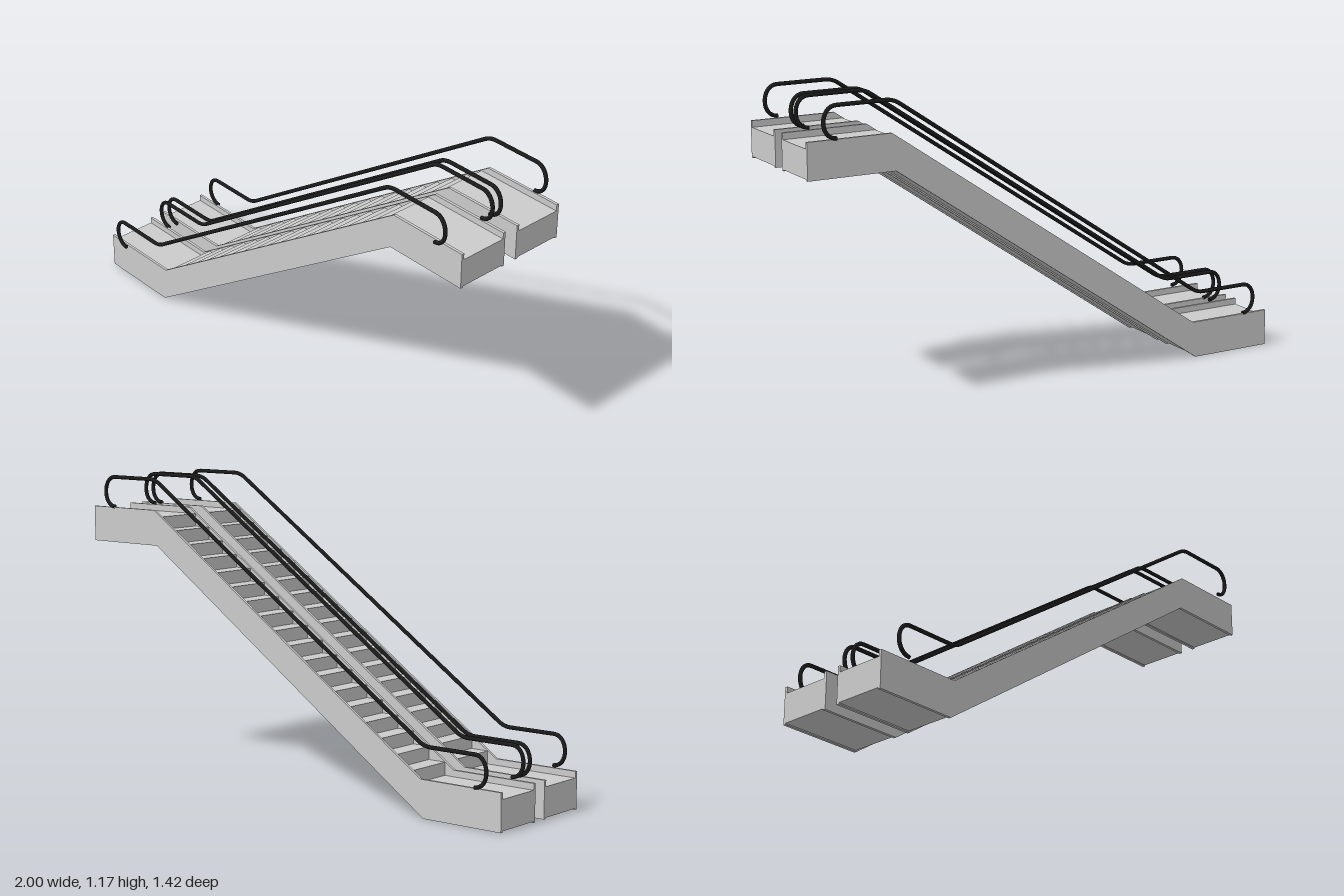
import * as THREE from 'three';

const grey = new THREE.MeshStandardMaterial({ color: 0xcccccc });
const black = new THREE.MeshStandardMaterial({ color: 0x1a1a1a, side: THREE.DoubleSide });

const L = 1.011, RISE = 0.9;            // half length, height climbed
const WIDTH = 0.213, WALL = 0.011;

// Side outline extruded across the escalator from z0, by depth
function slab(points, z0, depth, name) {
  const shape = new THREE.Shape(points.map(([x, y]) => new THREE.Vector2(x, y)));
  const geo = new THREE.ExtrudeGeometry(shape, { depth, bevelEnabled: false });
  geo.translate(0, 0, z0);
  const mesh = new THREE.Mesh(geo, grey);
  mesh.name = name;
  return mesh;
}

// Side wall: two landings joined by the slope
const wallOutline = [
  [-L, 0], [-0.668, 0], [0.662, 0.905], [L, 0.905],
  [L, 1.045], [0.676, 1.045], [-0.654, 0.145], [-L, 0.145],
];

// Core: landings, stepped top and a slightly raised underside
function coreOutline() {
  const steps = 18, first = -0.615, run = 0.074, floor = 0.12;
  const pts = [[-L, 0.005], [-0.671, 0.005], [0.659, 0.91], [L, 0.91], [L, floor + RISE]];
  for (let i = steps - 1; i >= 0; i--) {
    const x = first + i * run;
    pts.push([x, floor + RISE * (i + 1) / steps], [x, floor + RISE * i / steps]);
  }
  pts.push([-L, floor]);
  return pts;
}

// Handrail: hooked ends, flat runs and a long slope with softened bends
function handrail(z, name) {
  const v = (x, y) => new THREE.Vector3(x, y, z);
  const path = new THREE.CurvePath();
  const line = (a, b) => path.add(new THREE.LineCurve3(a, b));
  const bend = (a, b, c) => path.add(new THREE.QuadraticBezierCurve3(a, b, c));
  const low = 0.267, high = low + RISE;
  path.add(new THREE.CubicBezierCurve3(v(-0.895, 0.148), v(-0.965, 0.15), v(-0.96, low), v(-0.895, low)));
  line(v(-0.895, low), v(-0.70, low));
  bend(v(-0.70, low), v(-0.67, low), v(-0.645, low + 0.017));
  line(v(-0.645, low + 0.017), v(0.645, high - 0.017));
  bend(v(0.645, high - 0.017), v(0.67, high), v(0.70, high));
  line(v(0.70, high), v(0.895, high));
  path.add(new THREE.CubicBezierCurve3(v(0.895, high), v(0.96, high), v(0.965, 1.05), v(0.895, 1.048)));
  const mesh = new THREE.Mesh(new THREE.TubeGeometry(path, 220, 0.0078, 10, false), black);
  mesh.name = name;
  return mesh;
}

// One escalator, its width running from z = 0 to WIDTH
function escalator(name) {
  const g = new THREE.Group();
  g.name = name;
  g.add(
    slab(wallOutline, 0, WALL, 'backSideWall'),
    slab(wallOutline, WIDTH - WALL, WALL, 'frontSideWall'),
    slab(coreOutline(), WALL, WIDTH - 2 * WALL, 'stepsAndLandings'),
    handrail(0.001, 'backHandrail'),
    handrail(WIDTH + 0.017, 'frontHandrail'),
  );
  return g;
}

export function createModel() {
  const model = new THREE.Group();
  model.name = 'escalatorPair';
  // The pair stands at an angle to the front
  const pair = new THREE.Group();
  pair.name = 'escalators';
  pair.rotation.y = -THREE.MathUtils.degToRad(29.5);
  [-0.2438, 0.0265].forEach((z, i) => {
    const e = escalator(i ? 'frontEscalator' : 'backEscalator');
    e.position.z = z;
    pair.add(e);
  });
  model.add(pair);
  return model;
}
